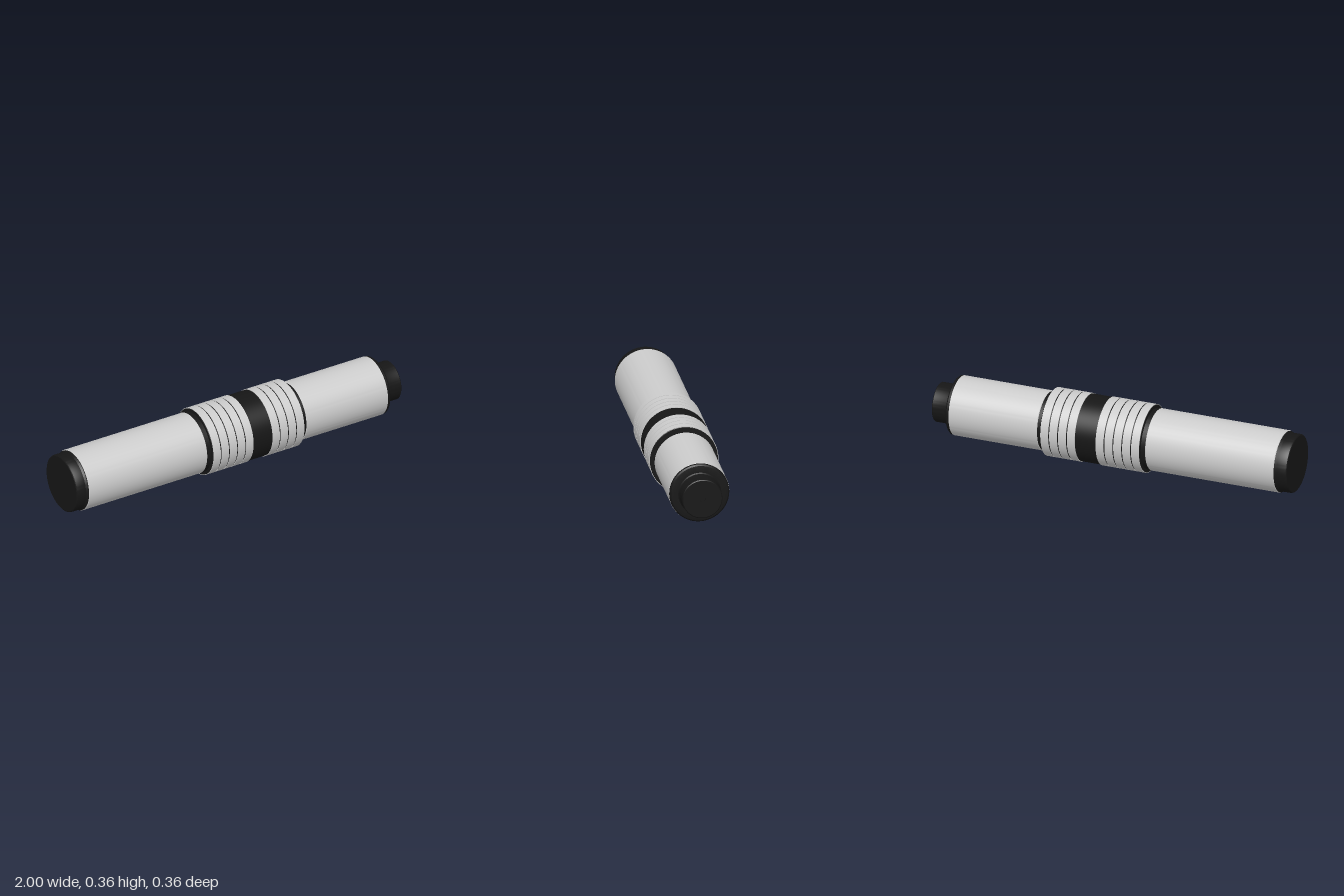
import * as THREE from 'three';
import { toCreasedNormals } from 'three/addons/utils/BufferGeometryUtils.js';

const AXIS_Y = 0.181;
const grey = new THREE.MeshStandardMaterial({ color: 0xcccccc });
const black = new THREE.MeshStandardMaterial({ color: 0x161616 });

export function createModel() {
  const group = new THREE.Group();

  // Turned part along x; profile is a list of [x, radius] from -x to +x
  function turned(name, profile, material) {
    const points = profile.map(([x, r]) => new THREE.Vector2(r, x));
    const geometry = toCreasedNormals(new THREE.LatheGeometry(points, 96), 0.4);
    geometry.rotateZ(-Math.PI / 2);
    geometry.translate(0, AXIS_Y, 0);
    const mesh = new THREE.Mesh(geometry, material);
    mesh.name = name;
    group.add(mesh);
  }

  // Closed cylinder with a small bevel at both ends
  const barrel = (x0, x1, r, b = 0.004) =>
    [[x0, 0], [x0, r - b], [x0 + b, r], [x1 - b, r], [x1, r - b], [x1, 0]];

  // Row of equal grip rings separated by narrow grooves
  function gripRings(name, x0, x1, count) {
    const pitch = (x1 - x0) / count, gap = 0.003;
    for (let i = 0; i < count; i++) {
      const a = x0 + i * pitch + gap, b = x0 + (i + 1) * pitch - gap;
      turned(name + (i + 1), [[a, 0.172], [a, 0.181], [b, 0.181], [b, 0.172]], grey);
    }
  }

  // Tail cap with a rounded rim
  turned('tailCap', [[-1, 0], [-1, 0.149], [-0.997, 0.153], [-0.99, 0.155],
    [-0.945, 0.155], [-0.935, 0.161], [-0.925, 0.161], [-0.925, 0]], black);

  // Main tubes
  turned('longTube', barrel(-0.932, -0.213, 0.164), grey);
  turned('shortTube', barrel(0.39, 0.888, 0.158), grey);

  // Dark necks beside the grip
  turned('rearNeck', barrel(-0.216, -0.185, 0.161, 0.002), black);
  turned('frontNeck', barrel(0.36, 0.393, 0.155, 0.002), black);

  // Grip core, showing in the grooves, at the ends and as the middle band
  turned('gripCore', barrel(-0.19, 0.366, 0.178, 0.002), black);
  gripRings('rearGripRing', -0.19, 0.058, 5);
  gripRings('frontGripRing', 0.168, 0.366, 4);

  // Stepped front cap with a push button and a small centre hole
  turned('frontCap', [[0.88, 0], [0.885, 0.157], [0.897, 0.156], [0.904, 0.149],
    [0.905, 0.142], [0.905, 0.113], [0.911, 0.108], [0.922, 0.105],
    [0.996, 0.105], [1, 0.101], [1, 0.015], [0.99, 0.015], [0.99, 0]], black);

  return group;
}
